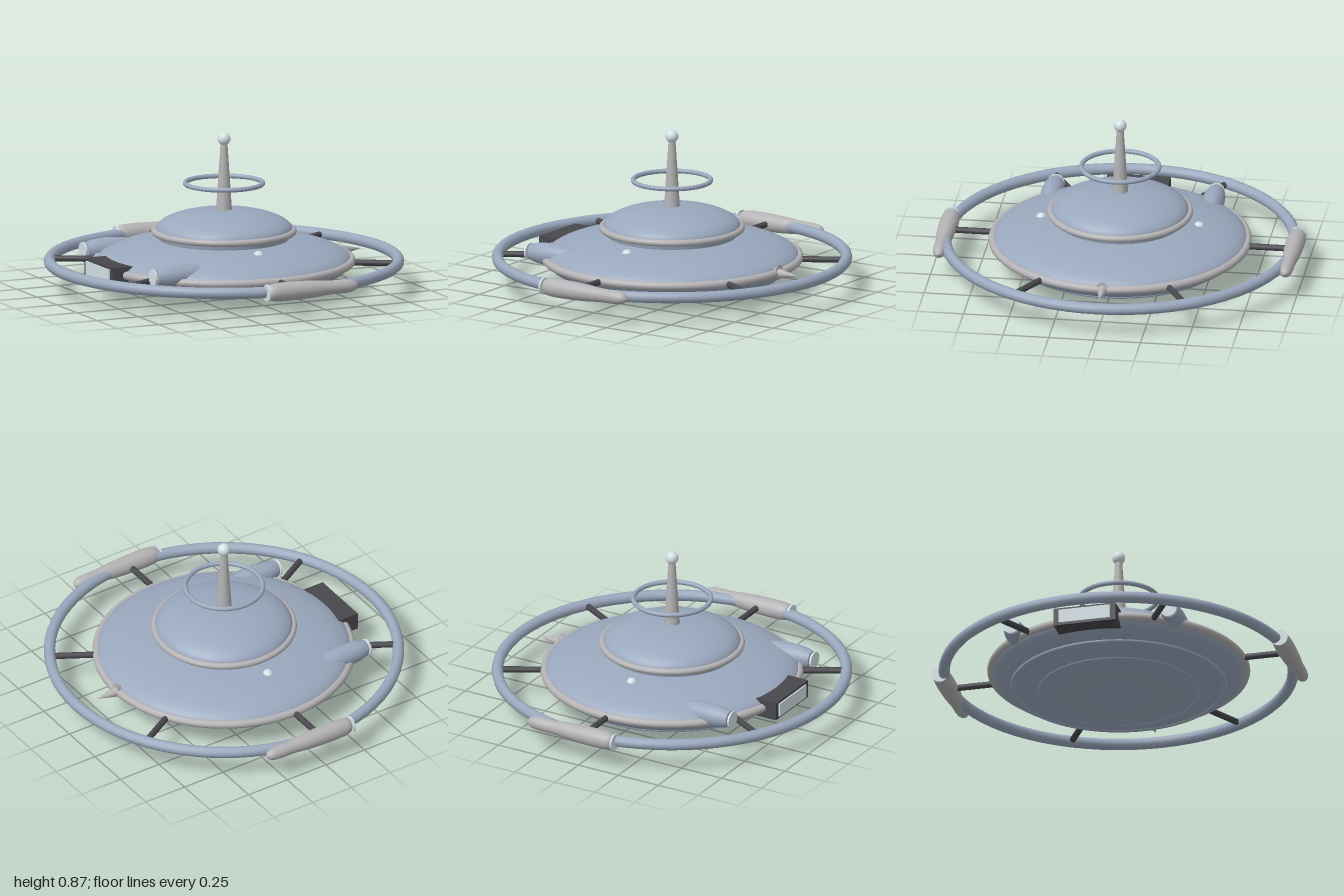
import * as THREE from 'three';

const mat = (color) => new THREE.MeshStandardMaterial({ color });
const hull = mat(0x9aa8bd), trim = mat(0xb4b2b4), dark = mat(0x47474d), pale = mat(0xd3e0e6);

export function createModel() {
  const model = new THREE.Group();

  const add = (name, geometry, material, x = 0, y = 0, z = 0) => {
    const mesh = new THREE.Mesh(geometry, material);
    mesh.name = name;
    mesh.position.set(x, y, z);
    model.add(mesh);
    return mesh;
  };
  // Horizontal hoop around the vertical axis
  const hoop = (name, radius, tube, y, material) =>
    add(name, new THREE.TorusGeometry(radius, tube, 12, 72).rotateX(Math.PI / 2), material, 0, y, 0);
  // Body turned around the x axis from [x, radius] pairs
  const podGeometry = (profile) => {
    const curve = new THREE.SplineCurve(profile.map(([x, r]) => new THREE.Vector2(r, x)));
    const points = curve.getPoints(36).map((p) => new THREE.Vector2(Math.max(p.x, 0), p.y));
    return new THREE.LatheGeometry([new THREE.Vector2(0, points[0].y), ...points], 24).rotateZ(-Math.PI / 2);
  };
  // Quarter ellipse swept into a shallow shell
  const shellPoints = (radius, y, height, from, to) => {
    const points = [];
    for (let i = 0; i <= 20; i++) {
      const a = from + ((to - from) * i) / 20;
      points.push(new THREE.Vector2(Math.max(radius * Math.cos(a), 0), y + height * Math.sin(a)));
    }
    return points;
  };

  // Saucer body
  const q = Math.PI / 2;
  add('saucerTop', new THREE.LatheGeometry(shellPoints(0.69, 0.165, 0.14, 0, q), 72), hull);
  add('saucerUnderside', new THREE.LatheGeometry(shellPoints(0.69, 0.165, 0.163, -q, 0), 72), hull);
  hoop('saucerRim', 0.688, 0.023, 0.165, trim);
  hoop('outerBellyRing', 0.573, 0.012, 0.075, hull);
  hoop('innerBellyRing', 0.432, 0.009, 0.041, hull);

  // Upper dome on its neck
  add('domeNeck', new THREE.CylinderGeometry(0.36, 0.345, 0.07, 72), hull, 0, 0.295, 0);
  add('dome', new THREE.LatheGeometry(shellPoints(0.372, 0.333, 0.115, 0, q), 72), hull);
  hoop('domeRim', 0.376, 0.018, 0.328, trim);

  // Mast, tip ball and floating halo
  add('mast', new THREE.CylinderGeometry(0.018, 0.044, 0.39, 24), trim, 0, 0.625, 0);
  add('mastBall', new THREE.SphereGeometry(0.035, 24, 16), pale, 0, 0.833, 0);
  hoop('mastHalo', 0.21, 0.013, 0.59, hull);

  // Outer ring carried on six spokes
  hoop('outerRing', 0.943, 0.031, 0.163, hull);
  for (let i = 0; i < 6; i++) {
    const angle = Math.PI / 6 + (i * Math.PI) / 3;
    const spoke = add('spoke', new THREE.CylinderGeometry(0.017, 0.017, 0.28, 12).rotateZ(q), dark,
      Math.cos(angle) * 0.8, 0.163, -Math.sin(angle) * 0.8);
    spoke.rotation.y = angle;
  }

  // Paired pods, exhausts and lamps
  const ringPod = podGeometry([
    [-0.185, 0.036], [-0.165, 0.046], [-0.11, 0.051], [0.0, 0.05], [0.1, 0.045],
    [0.18, 0.038], [0.28, 0.036], [0.33, 0.025], [0.35, 0],
  ]);
  const rearPod = podGeometry([
    [-0.622, 0.044], [-0.57, 0.056], [-0.5, 0.061], [-0.42, 0.057], [-0.34, 0.044], [-0.28, 0.025], [-0.25, 0],
  ]);
  const exhaust = new THREE.CylinderGeometry(0.046, 0.046, 0.01, 24).rotateZ(q);
  const exhaustNeck = new THREE.CylinderGeometry(0.034, 0.034, 0.02, 24).rotateZ(q);
  for (const side of [-1, 1]) {
    add('ringPod', ringPod, trim, 0, 0.163, side * 0.945);
    add('ringPodExhaust', exhaust, pale, -0.194, 0.163, side * 0.945);
    add('rearPod', rearPod, hull, 0, 0.196, side * 0.438);
    add('rearPodNeck', exhaustNeck, hull, -0.625, 0.196, side * 0.438);
    add('rearPodExhaust', exhaust, pale, -0.634, 0.196, side * 0.438);
    add('lamp', new THREE.SphereGeometry(0.03, 20, 14), pale, 0, 0.26, side * 0.43);
  }

  // Rear engine block with glowing panel
  add('engineBlock', new THREE.BoxGeometry(0.2, 0.1, 0.345), dark, -0.652, 0.162, 0);
  add('enginePanel', new THREE.BoxGeometry(0.012, 0.075, 0.285), pale, -0.754, 0.162, 0);

  // Nose spike with a short tail
  add('noseSpike', new THREE.ConeGeometry(0.03, 0.13, 16).rotateZ(-q), trim, 0.757, 0.165, 0);
  add('noseSpikeTail', new THREE.ConeGeometry(0.032, 0.06, 16).rotateZ(q), trim, 0.67, 0.18, 0);

  return model;
}
